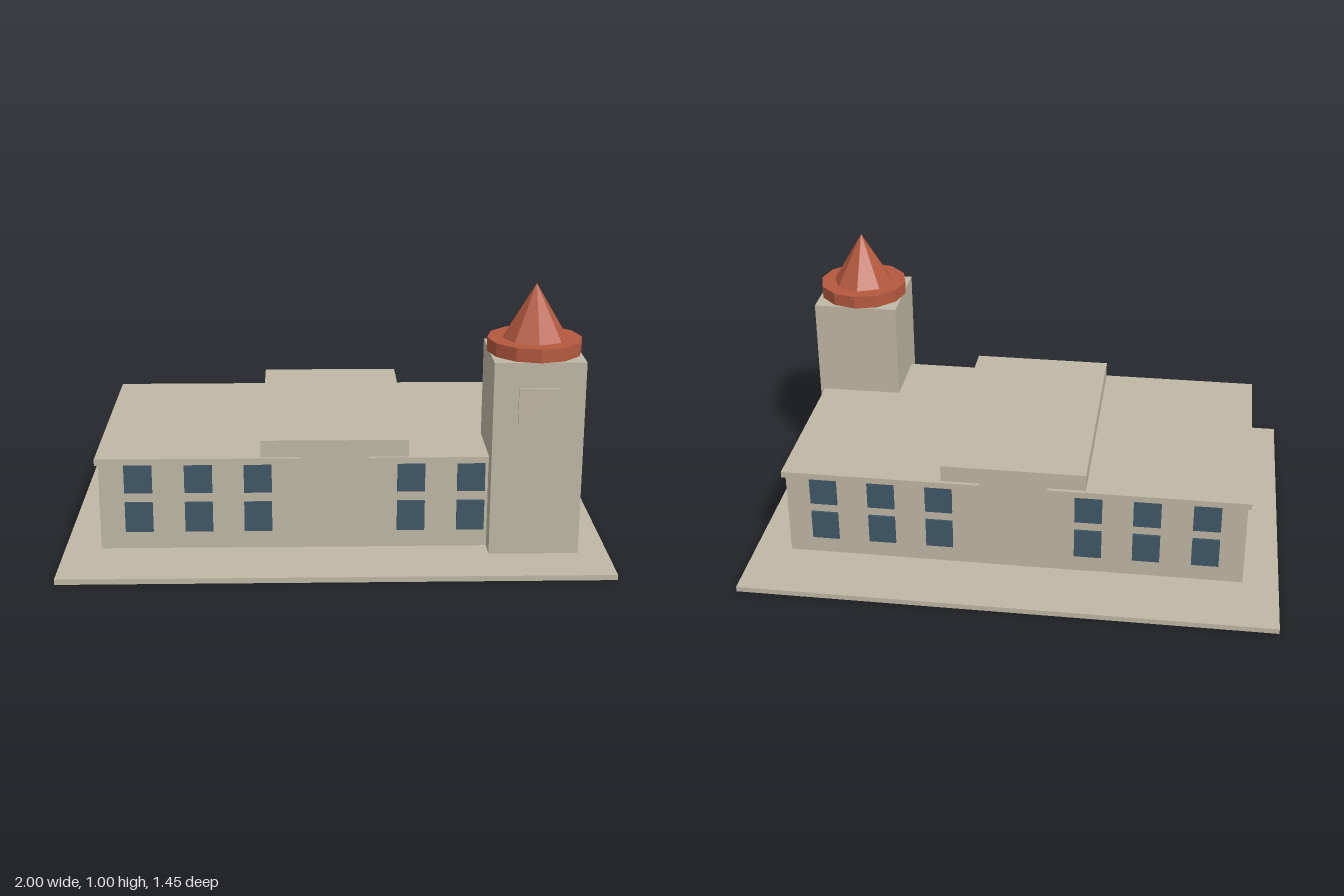
import * as THREE from 'three';

export function createModel() {
  const group = new THREE.Group();
  const stone = new THREE.MeshStandardMaterial({ name: 'stone', color: 0xc0b8a5 });
  const glass = new THREE.MeshStandardMaterial({ name: 'window blue', color: 0x405767 });
  const tile = new THREE.MeshStandardMaterial({ name: 'roof red', color: 0xb5593f });

  // Box given by its extents on each axis
  function box(name, material, [x0, x1], [y0, y1], [z0, z1]) {
    const mesh = new THREE.Mesh(new THREE.BoxGeometry(x1 - x0, y1 - y0, z1 - z0), material);
    mesh.position.set((x0 + x1) / 2, (y0 + y1) / 2, (z0 + z1) / 2);
    mesh.name = name;
    group.add(mesh);
  }

  // Ground slab, long hall and raised middle block
  box('base', stone, [-1, 1], [0, 0.02], [-0.727, 0.727]);
  box('hall', stone, [-0.866, 0.861], [0.02, 0.352], [-0.455, 0.452]);
  box('middleBlock', stone, [-0.273, 0.268], [0.02, 0.438], [-0.456, 0.453]);

  // Flat overhanging roofs on both wings
  box('rightRoof', stone, [-0.878, -0.129], [0.35, 0.374], [-0.47, 0.465]);
  box('leftRoof', stone, [0.123, 0.873], [0.35, 0.374], [-0.47, 0.465]);

  // Two rows of windows, front and back; the tower hides the last front column
  const columns = [-0.722, -0.502, -0.284, 0.278, 0.498, 0.718];
  for (const x of columns) {
    for (const [y0, y1] of [[0.088, 0.203], [0.24, 0.35]]) {
      const across = [x - 0.051, x + 0.051];
      box('backWindow', glass, across, [y0, y1], [-0.465, -0.456]);
      if (x < 0.6) box('frontWindow', glass, across, [y0, y1], [0.453, 0.462]);
    }
  }

  // Square tower with a blank plaque
  box('tower', stone, [0.561, 0.89], [0.02, 0.75], [0.201, 0.531]);
  box('towerPlaque', stone, [0.651, 0.798], [0.514, 0.656], [0.53, 0.539]);

  // Tower cap: round rim and pointed spire
  function cap(name, geometry, y) {
    const mesh = new THREE.Mesh(geometry.toNonIndexed(), tile);
    mesh.geometry.computeVertexNormals();
    mesh.position.set(0.725, y, 0.366);
    mesh.name = name;
    group.add(mesh);
  }
  cap('towerRim', new THREE.CylinderGeometry(0.173, 0.173, 0.05, 12), 0.775);
  cap('towerSpire', new THREE.ConeGeometry(0.119, 0.2, 8), 0.9);

  return group;
}
